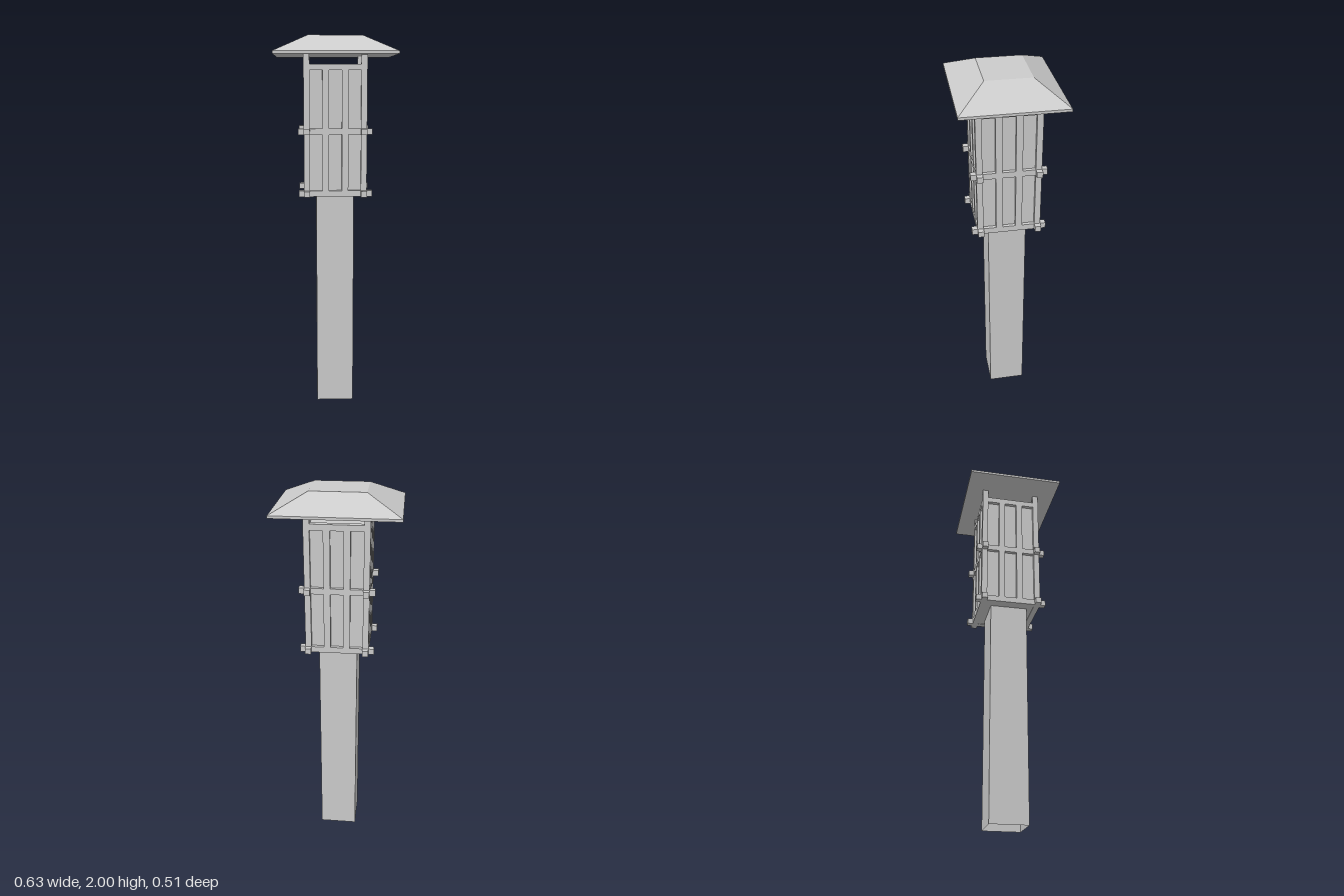
import * as THREE from 'three';

const grey = new THREE.MeshStandardMaterial({ color: 0xcccccc, flatShading: true });
const greyOpen = new THREE.MeshStandardMaterial({ color: 0xcccccc, flatShading: true, side: THREE.DoubleSide });

function box(parent, name, w, h, d, x, y, z) {
  const mesh = new THREE.Mesh(new THREE.BoxGeometry(w, h, d), grey);
  mesh.name = name;
  mesh.position.set(x, y, z);
  parent.add(mesh);
  return mesh;
}

export function createModel() {
  const model = new THREE.Group();
  model.name = 'postLantern';

  // Square hollow post, open at the foot
  const postGeometry = new THREE.CylinderGeometry(0.1 * Math.SQRT2, 0.1 * Math.SQRT2, 1.18, 4, 1, true);
  postGeometry.rotateY(Math.PI / 4);
  const post = new THREE.Mesh(postGeometry, greyOpen);
  post.name = 'post';
  post.position.y = 0.59;
  model.add(post);

  // Lamp housing: recessed panes behind a timber frame
  const housing = new THREE.Group();
  housing.name = 'lampHousing';
  model.add(housing);
  const bottom = 1.176, top = 1.855, bar = 0.031, frame = 0.148;
  box(housing, 'panes', 0.29, top - bottom - 0.004, 0.29, 0, (top + bottom) / 2, 0);

  // Corner posts carry the roof
  for (const sx of [-1, 1]) for (const sz of [-1, 1]) {
    box(housing, 'cornerPost', bar, 1.91 - bottom, bar, sx * frame, (1.91 + bottom) / 2, sz * frame);
  }

  // Four identical sides; the two lower rails run past the corners
  for (let i = 0; i < 4; i++) {
    const side = new THREE.Group();
    side.name = 'latticeSide';
    side.rotation.y = i * Math.PI / 2;
    for (const y of [1.191, 1.514]) box(side, 'crossingRail', 0.384, bar, bar, 0, y, frame);
    box(side, 'topRail', 2 * frame, bar, bar, 0, top - bar / 2, frame);
    for (const x of [-0.05, 0.05]) {
      box(side, 'mullion', 0.034, top - bottom - 0.004, bar, x, (top + bottom) / 2, frame);
    }
    housing.add(side);
  }

  // Roof: thin eave slab and a truncated hip
  const roof = new THREE.Group();
  roof.name = 'roof';
  model.add(roof);
  box(roof, 'eave', 0.63, 0.013, 0.514, 0, 1.9085, 0);
  const hip = box(roof, 'hip', 0.63, 0.085, 0.514, 0, 1.9575, 0);
  const p = hip.geometry.attributes.position;
  for (let i = 0; i < p.count; i++) {
    if (p.getY(i) > 0) {
      p.setX(i, Math.sign(p.getX(i)) * 0.14);
      p.setZ(i, Math.sign(p.getZ(i)) * 0.115);
    }
  }
  hip.geometry.computeVertexNormals();

  return model;
}
